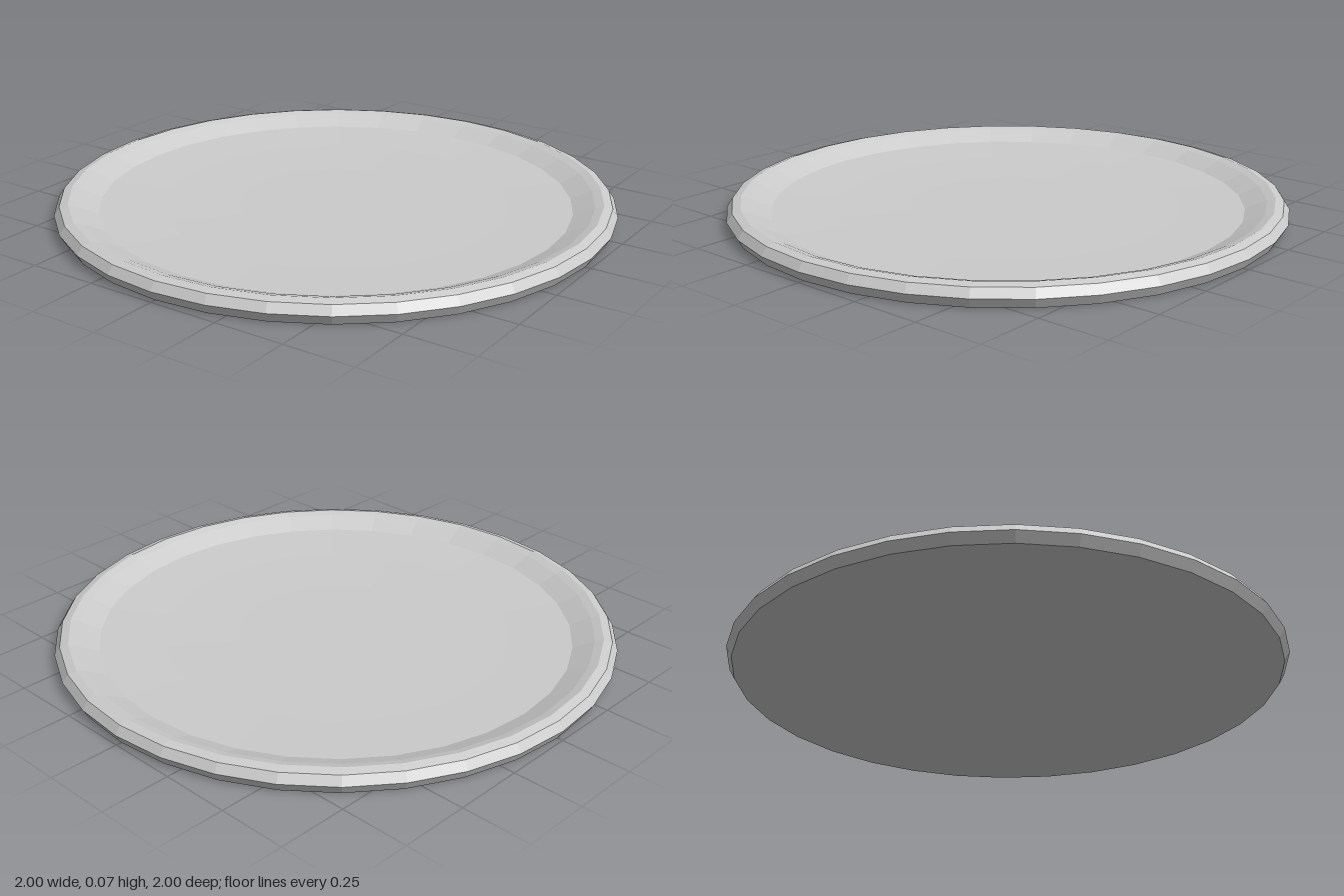
import * as THREE from 'three';

// Radius and height, from the underside centre round the rim to the dished floor
const PROFILE = [
  [0, 0], [0.98, 0],               // flat underside
  [1, 0.035], [0.98, 0.065],       // bevelled outer edge
  [0.95, 0.073], [0.92, 0.064],    // rounded lip
  [0.845, 0.031],                  // sloping inner wall
  [0.62, 0.023], [0.345, 0.02], [0, 0.019], // shallow floor
];

export function createModel() {
  const group = new THREE.Group();
  group.name = 'plate';

  const points = PROFILE.map(([r, y]) => new THREE.Vector2(r, y));
  const material = new THREE.MeshStandardMaterial({ color: 0xcccccc, flatShading: true });

  // One closed 32-sided turned body
  const plate = new THREE.Mesh(new THREE.LatheGeometry(points, 32), material);
  plate.name = 'plateBody';
  group.add(plate);
  return group;
}
